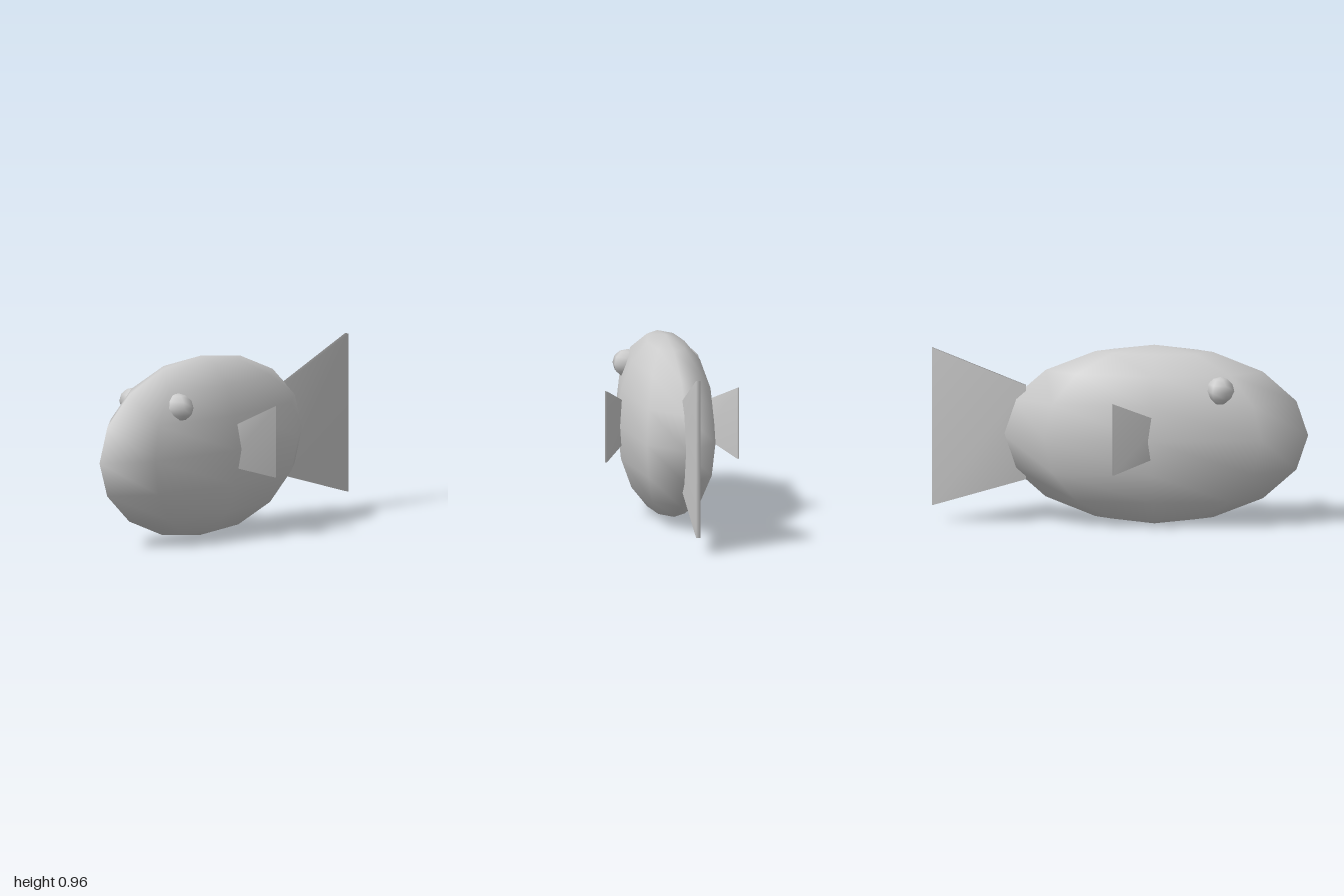
import * as THREE from 'three';
import { mergeVertices } from 'three/addons/utils/BufferGeometryUtils.js';

const material = new THREE.MeshStandardMaterial({ color: 0xcccccc });

function part(name, geometry) {
  const mesh = new THREE.Mesh(geometry, material);
  mesh.name = name;
  return mesh;
}

// Thin plate running along +x, its lower and upper edges going from near to far
function taperedPlate(length, near, far, thickness) {
  const geometry = new THREE.BoxGeometry(1, 1, thickness);
  geometry.deleteAttribute('normal');
  geometry.deleteAttribute('uv');
  const p = geometry.attributes.position;
  for (let i = 0; i < p.count; i++) {
    const edge = p.getX(i) < 0 ? near : far;
    p.setXY(i, p.getX(i) < 0 ? 0 : length, edge[p.getY(i) < 0 ? 0 : 1]);
  }
  const smooth = mergeVertices(geometry);
  smooth.computeVertexNormals();
  return smooth;
}

export function createModel() {
  const fish = new THREE.Group();
  fish.name = 'fish';

  // Flattened eight-sided body
  const body = part('body', new THREE.SphereGeometry(1, 8, 8));
  body.scale.set(0.818, 0.482, 0.26);
  body.position.set(-0.182, 0.482, 0.005);
  fish.add(body);

  // Flaring tail fin
  const tail = part('tailFin', taperedPlate(0.5, [0.235, 0.74], [0.09, 0.94], 0.024));
  tail.position.x = 0.5;
  fish.add(tail);

  // Paired eyes and swept-back side fins
  for (const side of [1, -1]) {
    const prefix = side > 0 ? 'left' : 'right'; // the +z flank is the swimmer's left
    const eye = part(prefix + 'Eye', new THREE.SphereGeometry(0.075, 6, 6));
    eye.scale.z = 1.15;
    eye.position.set(-0.54, 0.745, side * 0.155 + 0.004);
    fish.add(eye);

    const fin = part(prefix + 'SideFin', taperedPlate(0.282, [0.4, 0.59], [0.32, 0.705], 0.012));
    fin.position.set(-0.22, 0, side * 0.208);
    fin.rotation.y = -side * 0.55;
    fish.add(fin);
  }
  return fish;
}
